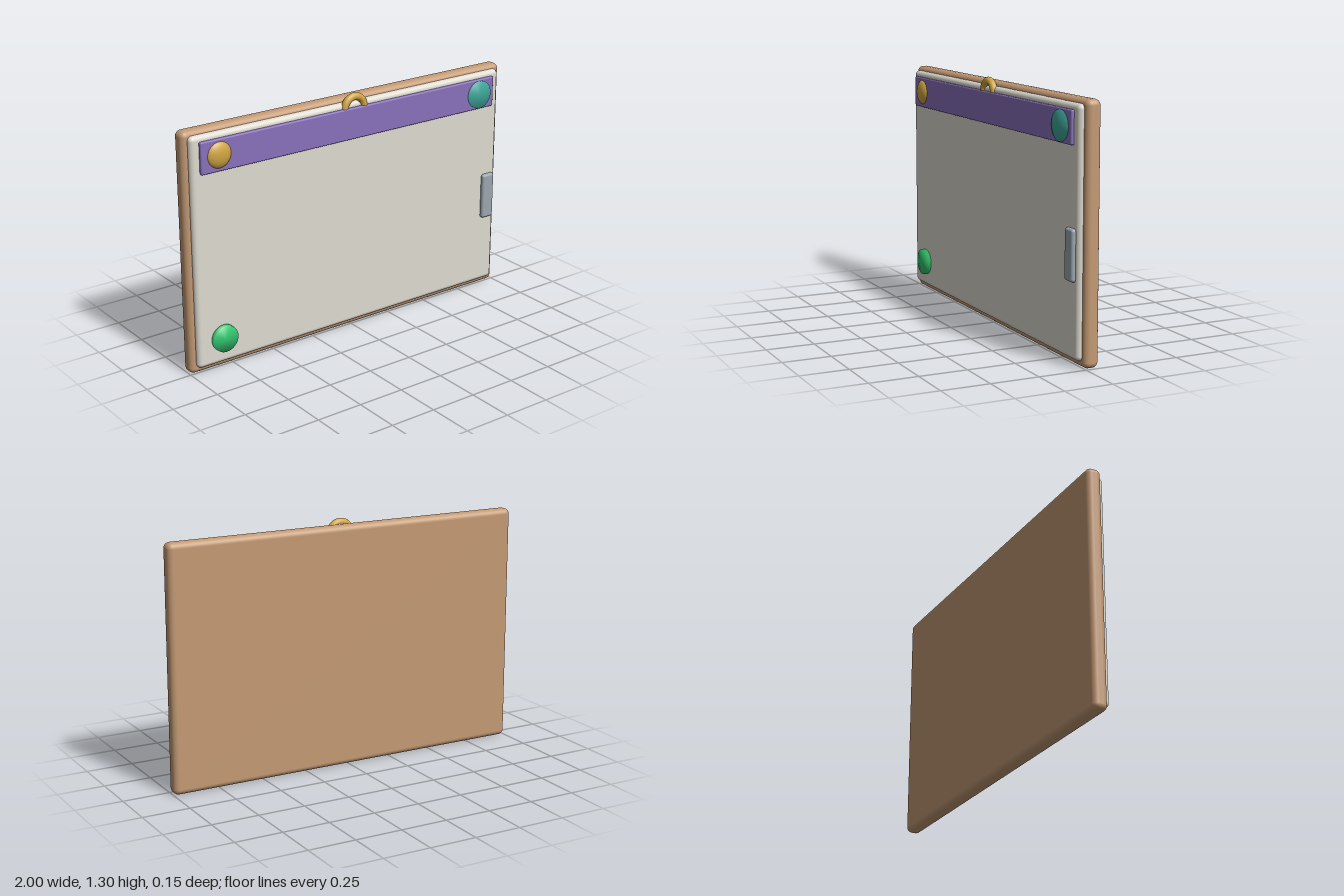
import * as THREE from 'three';
import { mergeVertices } from 'three/addons/utils/BufferGeometryUtils.js';
import { RoundedBoxGeometry } from 'three/addons/geometries/RoundedBoxGeometry.js';

const paint = (name, color) => {
  const m = new THREE.MeshStandardMaterial({ color });
  m.name = name;
  return m;
};

// Rounded slab given by its limits on each axis
function slab(name, [x0, x1], [y0, y1], [z0, z1], radius, material) {
  const geometry = new RoundedBoxGeometry(x1 - x0, y1 - y0, z1 - z0, 4, radius);
  const mesh = new THREE.Mesh(geometry, material);
  mesh.name = name;
  mesh.position.set((x0 + x1) / 2, (y0 + y1) / 2, (z0 + z1) / 2);
  return mesh;
}

// Round button facing forward, with normals blended over the rim
function button(name, x, y, z0, z1, radius, material) {
  let geometry = new THREE.CylinderGeometry(radius, radius, z1 - z0, 40);
  geometry.rotateX(Math.PI / 2);
  geometry.deleteAttribute('normal');
  geometry.deleteAttribute('uv');
  geometry = mergeVertices(geometry, 1e-4);
  geometry.computeVertexNormals();
  const mesh = new THREE.Mesh(geometry, material);
  mesh.name = name;
  mesh.position.set(x, y, (z0 + z1) / 2);
  return mesh;
}

export function createModel() {
  const wood = paint('wood', 0xc49a74);
  const cream = paint('cream', 0xdedad0);
  const purple = paint('purple', 0x8870bc);
  const gold = paint('gold', 0xd0a643);
  const teal = paint('teal', 0x40a99c);
  const green = paint('green', 0x36c872);
  const grey = paint('grey', 0x9ca6b0);

  const model = new THREE.Group();
  model.name = 'board';

  // Backing, writing surface and header strip
  model.add(
    slab('backing', [-1, 1], [0, 1.28], [-0.073, 0.007], 0.03, wood),
    slab('panel', [-0.97, 0.97], [0.033, 1.257], [-0.02, 0.034], 0.025, cream),
    slab('headerStrip', [-0.923, 0.923], [1.062, 1.228], [0.012, 0.05], 0.008, purple),
    slab('sideClip', [0.87, 0.948], [0.415, 0.67], [0.01, 0.055], 0.014, grey),
  );

  // Flat buttons
  model.add(
    button('tealButton', 0.82, 1.145, 0.03, 0.059, 0.076, teal),
    button('greenButton', -0.82, 0.172, 0.02, 0.059, 0.071, green),
  );

  // Domed stud at the other end of the strip
  const stud = new THREE.Mesh(new THREE.SphereGeometry(0.07, 32, 20), gold);
  stud.name = 'goldStud';
  stud.scale.z = 0.033 / 0.07;
  stud.position.set(-0.82, 1.147, 0.04);
  model.add(stud);

  // Hanging loop: half ring with closed ends
  const loop = new THREE.Group();
  loop.name = 'hangingLoop';
  const arch = new THREE.Mesh(new THREE.TorusGeometry(0.06, 0.02, 16, 32, Math.PI), gold);
  arch.name = 'loopArch';
  loop.add(arch);
  for (const side of [-1, 1]) {
    const end = new THREE.Mesh(new THREE.CircleGeometry(0.02, 16), gold);
    end.name = 'loopEnd';
    end.rotation.x = Math.PI / 2;
    end.position.x = side * 0.06;
    loop.add(end);
  }
  loop.position.set(0, 1.222, 0.028);
  model.add(loop);

  return model;
}
